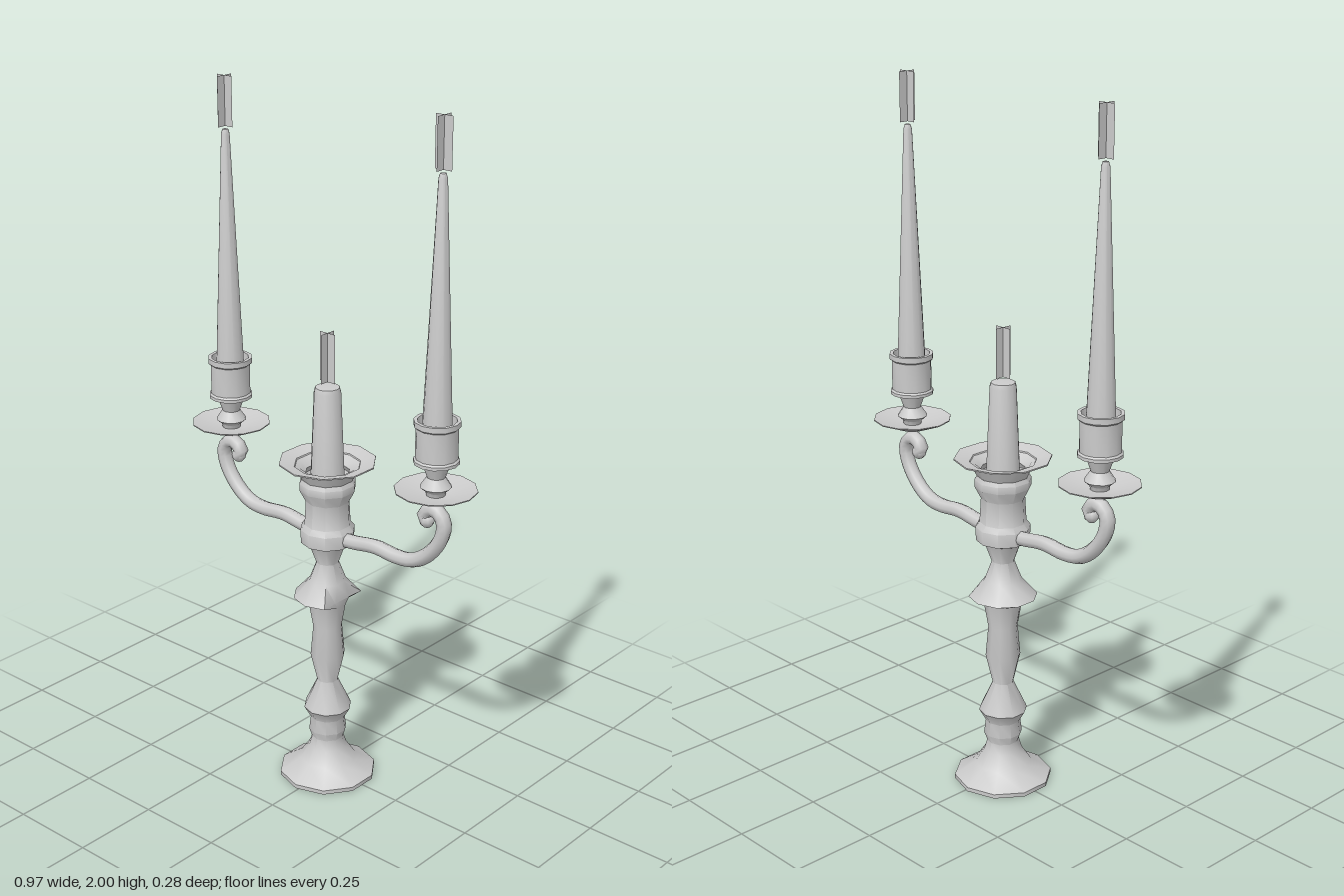
import * as THREE from 'three';
import { toCreasedNormals } from 'three/addons/utils/BufferGeometryUtils.js';

const material = new THREE.MeshStandardMaterial({ color: 0xcccccc, side: THREE.DoubleSide });
const CREASE = 0.75;

function add(parent, name, geometry, x = 0, y = 0, z = 0) {
  const mesh = new THREE.Mesh(geometry, material);
  mesh.name = name;
  mesh.position.set(x, y, z);
  parent.add(mesh);
  return mesh;
}

// Revolve [radius, height] pairs, listed from the bottom up
function turned(profile, sides) {
  return new THREE.LatheGeometry(profile.map(([r, y]) => new THREE.Vector2(r, y)), sides);
}

// Two crossed upright planes
function addWick(parent, name, y, height) {
  const wick = new THREE.Group();
  wick.name = name;
  for (const angle of [0, Math.PI / 2]) {
    add(wick, 'wickPlane', new THREE.PlaneGeometry(0.054, height), 0, y + height / 2).rotation.y = angle;
  }
  parent.add(wick);
}

// Central stem with foot, knob and flanged cup
function makeColumn() {
  const KNOB = 0.575;
  const geometry = turned([
    [0, 0], [0.141, 0], [0.141, 0.012], [0.082, 0.05], [0.055, 0.09], [0.046, 0.12],
    [0.055, 0.145], [0.05, 0.185], [0.069, 0.218], [0.067, 0.225], [0.03, 0.305],
    [0.05, 0.39], [0.042, 0.48], [0.055, 0.555], [0.098, KNOB], [0.053, 0.625],
    [0.032, 0.68], [0.052, 0.735], [0.076, 0.745], [0.078, 0.785], [0.066, 0.8],
    [0.062, 0.87], [0.08, 0.905], [0.08, 0.925], [0.062, 0.955], [0.08, 0.972],
    [0.137, 0.984], [0.137, 0.988], [0.094, 0.978], [0.055, 0.9], [0, 0.9],
  ], 10);
  // The knob is dented on its +x side
  const p = geometry.attributes.position;
  for (let i = 0; i < p.count; i++) {
    if (Math.abs(p.getY(i) - KNOB) < 0.001 && p.getX(i) > 0.08) p.setX(i, 0.055);
  }
  return toCreasedNormals(geometry, CREASE);
}

// Curled arm carrying a drip dish, socket and tall candle
function makeArm(name) {
  const arm = new THREE.Group();
  arm.name = name;
  const path = new THREE.CatmullRomCurve3([
    [0.03, 0.765], [0.09, 0.768], [0.17, 0.779], [0.245, 0.773], [0.3, 0.78], [0.35, 0.812],
    [0.392, 0.868], [0.402, 0.915], [0.386, 0.943], [0.36, 0.949], [0.338, 0.932], [0.336, 0.918],
    [0.345, 0.912],
  ].map(([x, y]) => new THREE.Vector3(x, y, 0)));
  add(arm, 'armScroll', new THREE.TubeGeometry(path, 30, 0.021, 8));
  add(arm, 'armTip', new THREE.SphereGeometry(0.021, 8, 6), 0.345, 0.912);

  const holder = new THREE.Group();
  holder.name = 'candleHolder';
  holder.position.x = 0.372;
  arm.add(holder);

  add(holder, 'dripDish', toCreasedNormals(turned([
    [0, 0.972], [0.03, 0.975], [0.112, 1.008], [0.112, 1.011], [0.04, 0.994], [0, 0.994],
  ], 12), CREASE));
  add(holder, 'candleSocket', toCreasedNormals(turned([
    [0.024, 0.985], [0.028, 1.005], [0.043, 1.018], [0.025, 1.045], [0.038, 1.082], [0.062, 1.086],
    [0.062, 1.095], [0.057, 1.1], [0.057, 1.185], [0.063, 1.19], [0.063, 1.205], [0.053, 1.205],
    [0.05, 1.17], [0, 1.17],
  ], 12), CREASE));
  add(holder, 'tallCandle', toCreasedNormals(turned([
    [0, 1.165], [0.041, 1.165], [0.012, 1.842], [0.008, 1.855], [0, 1.856],
  ], 12), CREASE));
  addWick(holder, 'tallWick', 1.863, 0.137);
  return arm;
}

export function createModel() {
  const model = new THREE.Group();
  model.name = 'candelabra';

  const centre = new THREE.Group();
  centre.name = 'centreStem';
  centre.position.x = -0.009;
  model.add(centre);
  add(centre, 'column', makeColumn());
  add(centre, 'shortCandle', toCreasedNormals(turned([
    [0, 0.89], [0.05, 0.89], [0.038, 1.19], [0.034, 1.203], [0, 1.206],
  ], 12), CREASE));
  addWick(centre, 'shortWick', 1.217, 0.14);

  // Arms on both sides; the right one is turned half round
  const left = makeArm('leftArm');
  const right = makeArm('rightArm');
  right.rotation.y = Math.PI;
  for (const arm of [left, right]) {
    arm.position.x = -0.003;
    model.add(arm);
  }
  return model;
}
